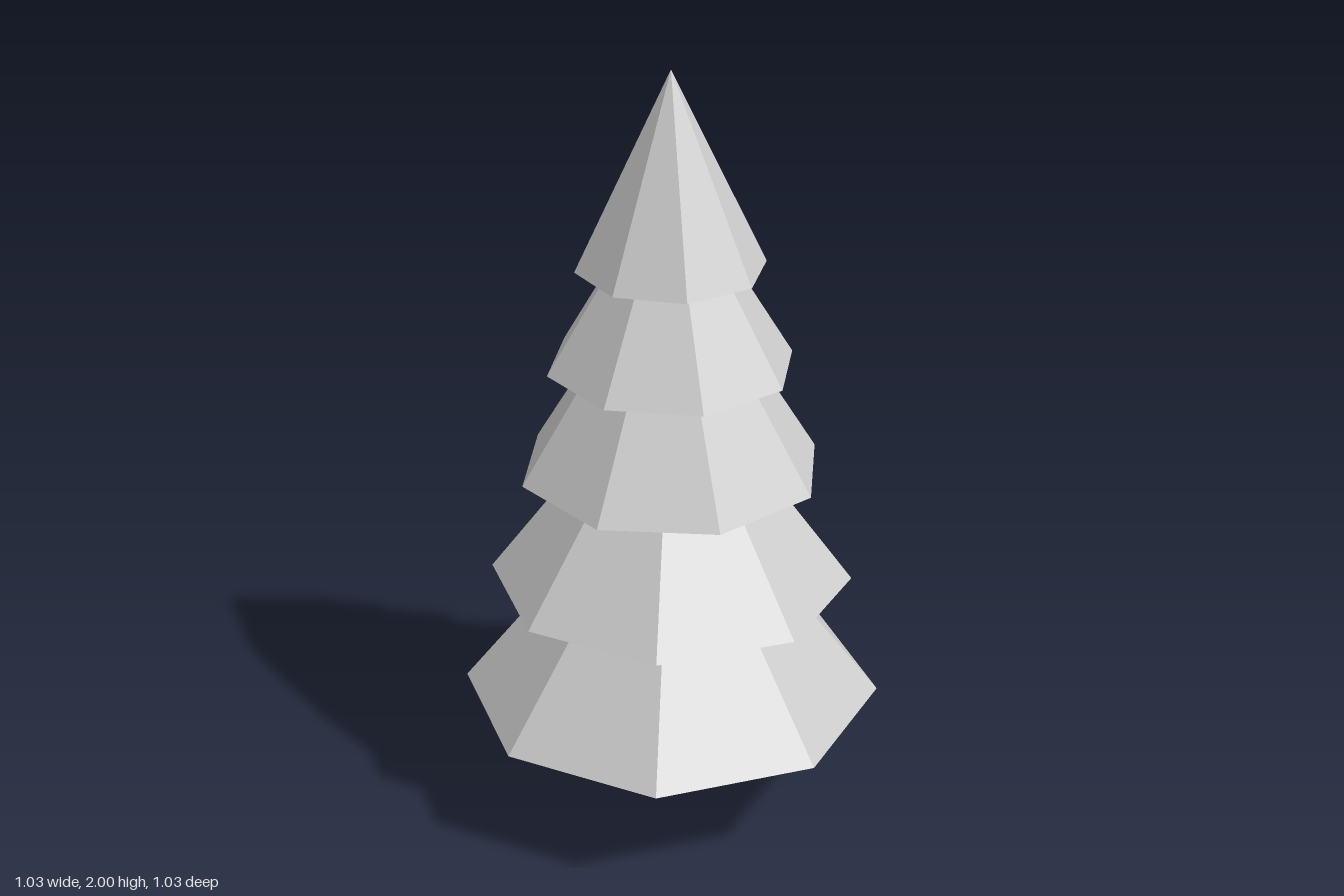
import * as THREE from 'three';

export function createModel() {
  const tree = new THREE.Group();
  tree.name = 'pineTree';

  const paleGrey = new THREE.MeshStandardMaterial({ color: 0xcccccc });
  paleGrey.name = 'pale grey';
  paleGrey.flatShading = true;

  // Slightly tapered six-sided trunk, ending just inside the lowest tier
  const trunkHeight = 0.33;
  const trunk = new THREE.Mesh(new THREE.CylinderGeometry(0.047, 0.052, trunkHeight, 6), paleGrey);
  trunk.name = 'trunk';
  trunk.position.y = trunkHeight / 2;
  tree.add(trunk);

  // Overlapping eight-sided foliage cones, each turned a little: base, tip, radius, turn in degrees
  const tiers = [
    [0.31, 1.0, 0.547, 25.8],
    [0.645, 1.265, 0.469, 25.3],
    [0.955, 1.59, 0.391, 2.4],
    [1.24, 1.76, 0.316, -1],
    [1.5, 2.0, 0.239, -6],
  ];
  tiers.forEach(([base, tip, radius, turn], i) => {
    const foliage = new THREE.Mesh(new THREE.ConeGeometry(radius, tip - base, 8), paleGrey);
    foliage.name = `foliageTier${i + 1}`;
    foliage.position.y = (base + tip) / 2;
    foliage.rotation.y = THREE.MathUtils.degToRad(turn);
    tree.add(foliage);
  });

  return tree;
}
